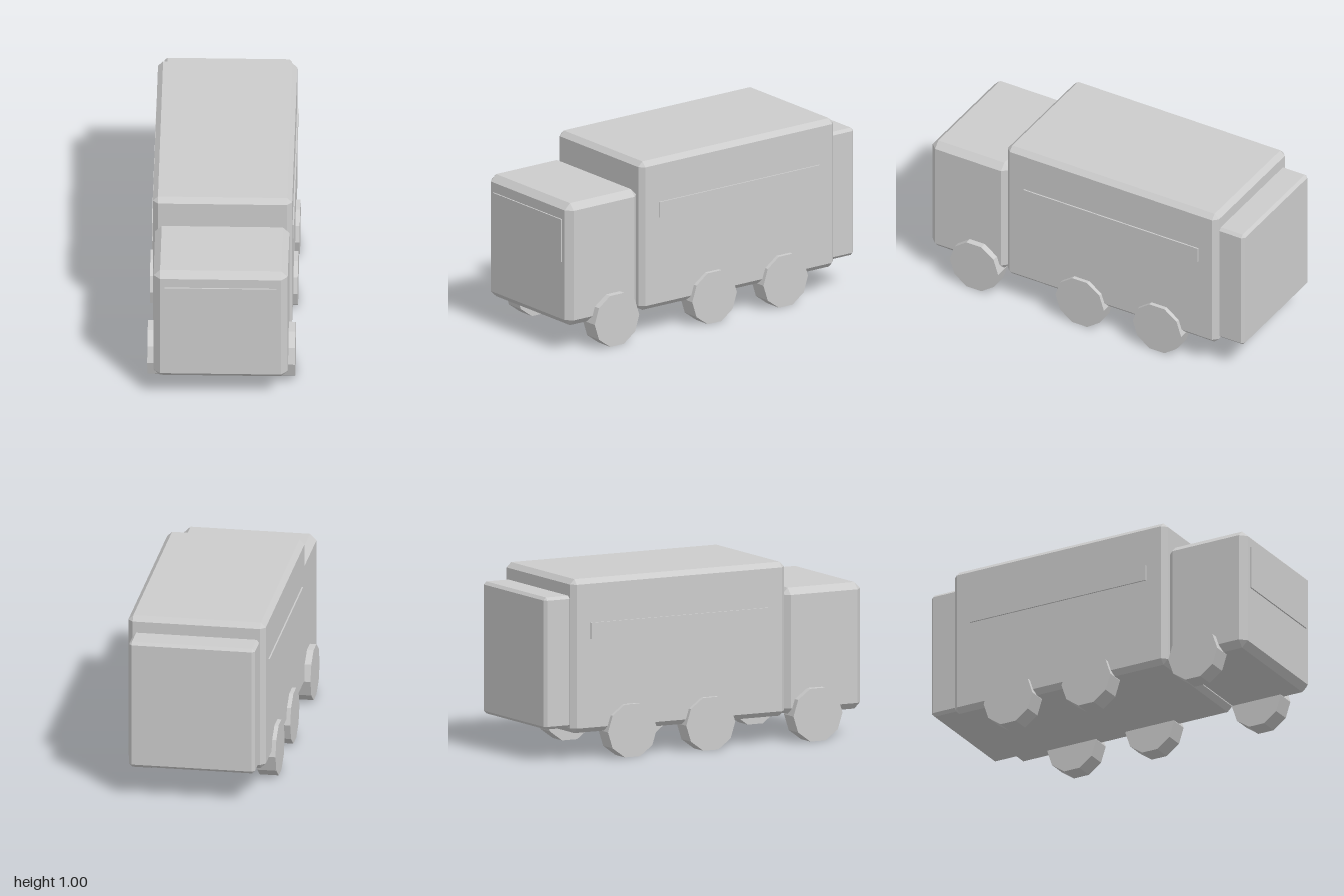
import * as THREE from 'three';
import { ConvexGeometry } from 'three/addons/geometries/ConvexGeometry.js';

const paint = new THREE.MeshStandardMaterial({ color: 0xcccccc });
paint.name = 'plain grey';

export function createModel() {
  const model = new THREE.Group();
  model.name = 'boxTruck';

  const add = (name, geometry, x, y, z) => {
    const mesh = new THREE.Mesh(geometry, paint);
    mesh.name = name;
    mesh.position.set(x, y, z);
    model.add(mesh);
    return mesh;
  };

  // Box with every edge cut by a single flat chamfer c
  const chamferBox = (w, h, d, c) => {
    const half = [w / 2, h / 2, d / 2];
    const points = [];
    for (const sx of [-1, 1]) for (const sy of [-1, 1]) for (const sz of [-1, 1]) {
      for (let axis = 0; axis < 3; axis++) {
        const [x, y, z] = half.map((v, i) => (i === axis ? v : v - c));
        points.push(new THREE.Vector3(sx * x, sy * y, sz * z));
      }
    }
    return new ConvexGeometry(points);
  };

  // Chamfered volume given by half width and y, z ranges
  const volume = (name, halfW, y0, y1, z0, z1, c) =>
    add(name, chamferBox(halfW * 2, y1 - y0, z1 - z0, c), 0, (y0 + y1) / 2, (z0 + z1) / 2);

  volume('cab', 0.368, 0.15, 0.852, 0.5, 0.992, 0.036);
  volume('cargoBody', 0.382, 0.15, 1.004, -0.845, 0.5, 0.028);
  volume('rearDoorUnit', 0.35, 0.18, 0.912, -1, -0.81, 0.016);

  // Windscreen plate
  add('windscreen', new THREE.BoxGeometry(0.614, 0.245, 0.009), 0, 0.6375, 0.9955);

  // Side strips and three axles, mirrored left and right
  const wheel = new THREE.CylinderGeometry(0.154, 0.154, 0.106, 10).toNonIndexed();
  wheel.rotateZ(Math.PI / 2);
  wheel.computeVertexNormals();
  const strip = new THREE.BoxGeometry(0.009, 0.09, 1.11);
  for (const [side, s] of [['left', 1], ['right', -1]]) {
    add(side + 'SideStrip', strip, s * 0.3855, 0.715, -0.175);
    [['Front', 0.686], ['Middle', 0.012], ['Rear', -0.48]].forEach(([axle, z]) =>
      add(side + axle + 'Wheel', wheel, s * 0.352, 0.1465, z));
  }

  return model;
}
